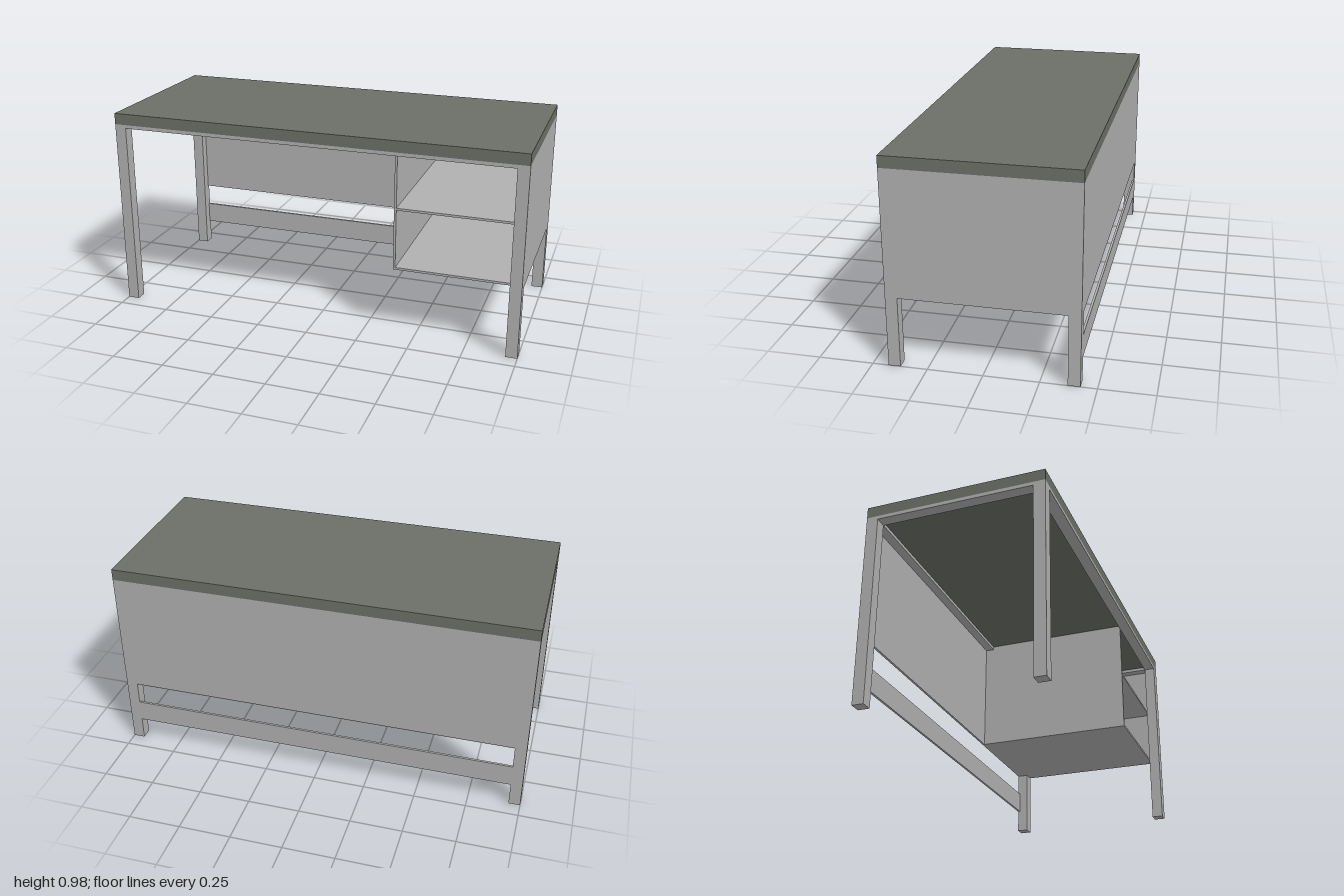
import * as THREE from 'three';

export function createModel() {
  const desk = new THREE.Group();
  desk.name = 'desk';

  const bodyGrey = new THREE.MeshStandardMaterial({ color: 0xb0b0b0 });
  bodyGrey.name = 'light grey';
  const topGrey = new THREE.MeshStandardMaterial({ color: 0x6c6f67 });
  topGrey.name = 'olive grey';

  // Box given by its minimum and maximum corners
  function block(name, [x0, y0, z0], [x1, y1, z1], material = bodyGrey) {
    const mesh = new THREE.Mesh(new THREE.BoxGeometry(x1 - x0, y1 - y0, z1 - z0), material);
    mesh.position.set((x0 + x1) / 2, (y0 + y1) / 2, (z0 + z1) / 2);
    mesh.name = name;
    desk.add(mesh);
  }

  const W = 1, D = 0.427;            // half width and half depth
  const leg = 0.055, sheet = 0.011;  // leg side and panel thickness
  const under = 0.922, panelLow = 0.333, apronLow = 0.905;
  const ix = W - leg, iz = D - leg;  // inner faces of the legs

  // Worktop
  block('worktop', [-W, under, -D], [W, 0.976, D], topGrey);

  // Legs and the shallow frame under the worktop
  for (const s of [-1, 1]) {
    const x0 = s < 0 ? -W : ix;
    const z0 = s < 0 ? -D : iz;
    block('frontLeg', [x0, 0, iz], [x0 + leg, under, D]);
    block('backLeg', [x0, 0, -D], [x0 + leg, under, -iz]);
    block('sideApron', [x0, apronLow, -iz], [x0 + leg, under, iz]);
    block('longApron', [-ix, apronLow, z0], [ix, under, z0 + leg]);
  }

  // Back panel and foot rail, flush with the back of the legs
  block('backPanel', [-ix, panelLow, -D], [ix, apronLow, -D + sheet]);
  block('footRail', [-ix, 0.115, -D], [ix, 0.222, -D + sheet]);

  // Open shelf unit, set behind the front leg
  const unitX = 0.39, unitBack = -D + sheet;
  block('shelfSide', [unitX, panelLow, unitBack], [unitX + sheet, under, iz]);
  block('sidePanel', [W - sheet, panelLow, -iz], [W, apronLow, iz]);
  for (const [name, y] of [['shelfBottom', panelLow], ['middleShelf', 0.628]]) {
    block(name, [unitX + sheet, y, unitBack], [ix, y + sheet, iz]);
    block(name + 'Edge', [ix, y, -iz], [W - sheet, y + sheet, iz]);
  }

  return desk;
}
